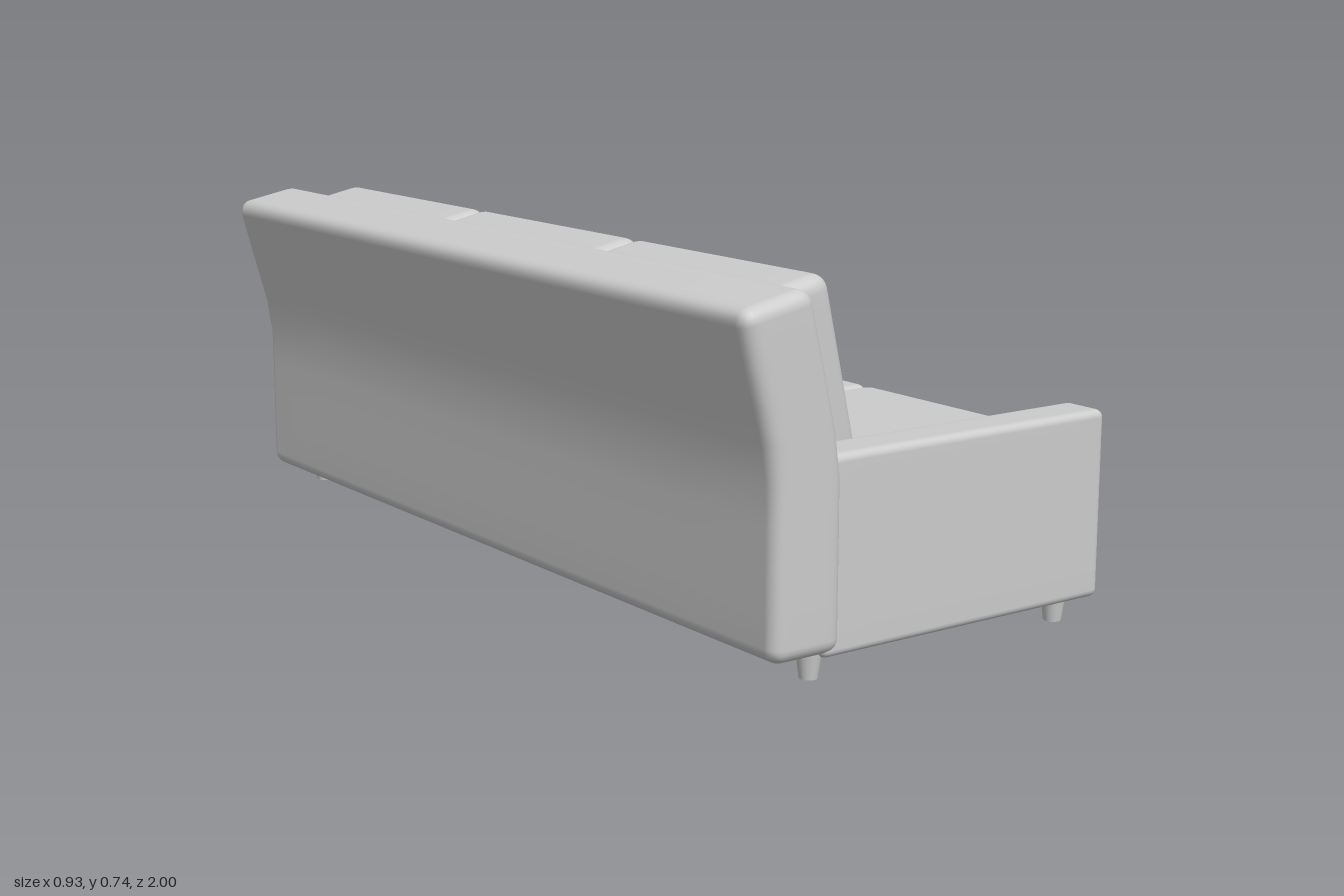
import * as THREE from 'three';
import { mergeVertices } from 'three/addons/utils/BufferGeometryUtils.js';

const material = new THREE.MeshStandardMaterial({ color: 0xcccccc });
const shellMaterial = new THREE.MeshStandardMaterial({ color: 0xcccccc, side: THREE.DoubleSide });

// Upholstered block: a rounded box with inner subdivisions, optionally reshaped by warp(p, u),
// where u is the position on the box scaled to -1..1 on each axis.
function softBox(w, h, d, r, warp) {
  const k = 3, m = 8, n = 2 * k + m;
  let g = new THREE.BoxGeometry(1, 1, 1, n, n, n);
  g.deleteAttribute('uv');
  g.deleteAttribute('normal');
  g = mergeVertices(g);
  const pos = g.attributes.position;
  const size = [w, h, d];
  const p = new THREE.Vector3(), inner = new THREE.Vector3(), u = new THREE.Vector3();
  for (let i = 0; i < pos.count; i++) {
    p.fromBufferAttribute(pos, i);
    for (let a = 0; a < 3; a++) {
      const half = size[a] / 2, flat = half - r;
      const step = Math.round((p.getComponent(a) + 0.5) * n);
      let c;
      if (step < k) c = -half + r * step / k;
      else if (step > n - k) c = half - r * (n - step) / k;
      else c = -flat + 2 * flat * (step - k) / m;
      p.setComponent(a, c);
      u.setComponent(a, c / half);
      inner.setComponent(a, THREE.MathUtils.clamp(c, -flat, flat));
    }
    p.sub(inner).setLength(r).add(inner);
    if (warp) warp(p, u);
    pos.setXYZ(i, p.x, p.y, p.z);
  }
  g.computeVertexNormals();
  return g;
}

// Removes the flat underside of a block, leaving a shell open below
function openBelow(g) {
  g.computeBoundingBox();
  const limit = g.boundingBox.min.y + 1e-4;
  const old = g.index.array, kept = [];
  for (let i = 0; i < old.length; i += 3) {
    const face = [old[i], old[i + 1], old[i + 2]];
    if (face.some((v) => g.attributes.position.getY(v) > limit)) kept.push(...face);
  }
  g.setIndex(kept);
  g.computeVertexNormals();
  return g;
}

export function createModel() {
  const model = new THREE.Group();
  model.name = 'sofa';

  function add(name, geometry, x, y, z, mat = material) {
    const mesh = new THREE.Mesh(geometry, mat);
    mesh.name = name;
    mesh.position.set(x, y, z);
    model.add(mesh);
  }

  // Backrest: upright below, curving backwards above the arms
  const backrest = softBox(0.162, 0.672, 2, 0.03, (p) => {
    const t = Math.max(0, p.y + 0.035);
    const bend = t < 0.13 ? t * t : 0.0169 + 0.26 * (t - 0.13);
    p.y += 0.2 * p.x * THREE.MathUtils.smoothstep(p.y, 0, 0.3);
    p.x -= bend;
  });
  add('backrest', backrest, -0.31, 0.386, 0);

  // Arms and tapered legs
  const arm = softBox(0.716, 0.383, 0.102, 0.016);
  const leg = new THREE.CylinderGeometry(0.026, 0.018, 0.06, 16);
  for (const side of [1, -1]) {
    const label = side > 0 ? 'left' : 'right';
    add(label + 'Arm', arm, 0.088, 0.2335, side * 0.94);
    add(label + 'FrontLeg', leg, 0.358, 0.03, side * 0.952);
    add(label + 'BackLeg', leg, -0.272, 0.03, side * 0.952);
  }

  // Front rail below the seat
  add('frontRail', softBox(0.115, 0.18, 1.82, 0.022), 0.379, 0.133, -0.005);

  // Seat cushions with a gently swollen front, and leaning back cushions
  const seat = openBelow(softBox(0.68, 0.145, 0.6, 0.024, (p, u) => {
    if (u.x > 0.99) p.x += 0.015 * (1 - Math.abs(u.y)) * (1 - u.z * u.z);
  }));
  const backCushion = softBox(0.13, 0.365, 0.602, 0.032, (p) => {
    p.y += 0.2 * p.x * THREE.MathUtils.smoothstep(p.y, 0, 0.18);
    p.x -= 0.235 * p.y;
  });
  for (let i = -1; i <= 1; i++) {
    const z = -0.01 + i * 0.598;
    add('seatCushion', seat, 0.107, 0.288, z, shellMaterial);
    add('backCushion', backCushion, -0.199, 0.546, z);
  }

  return model;
}
